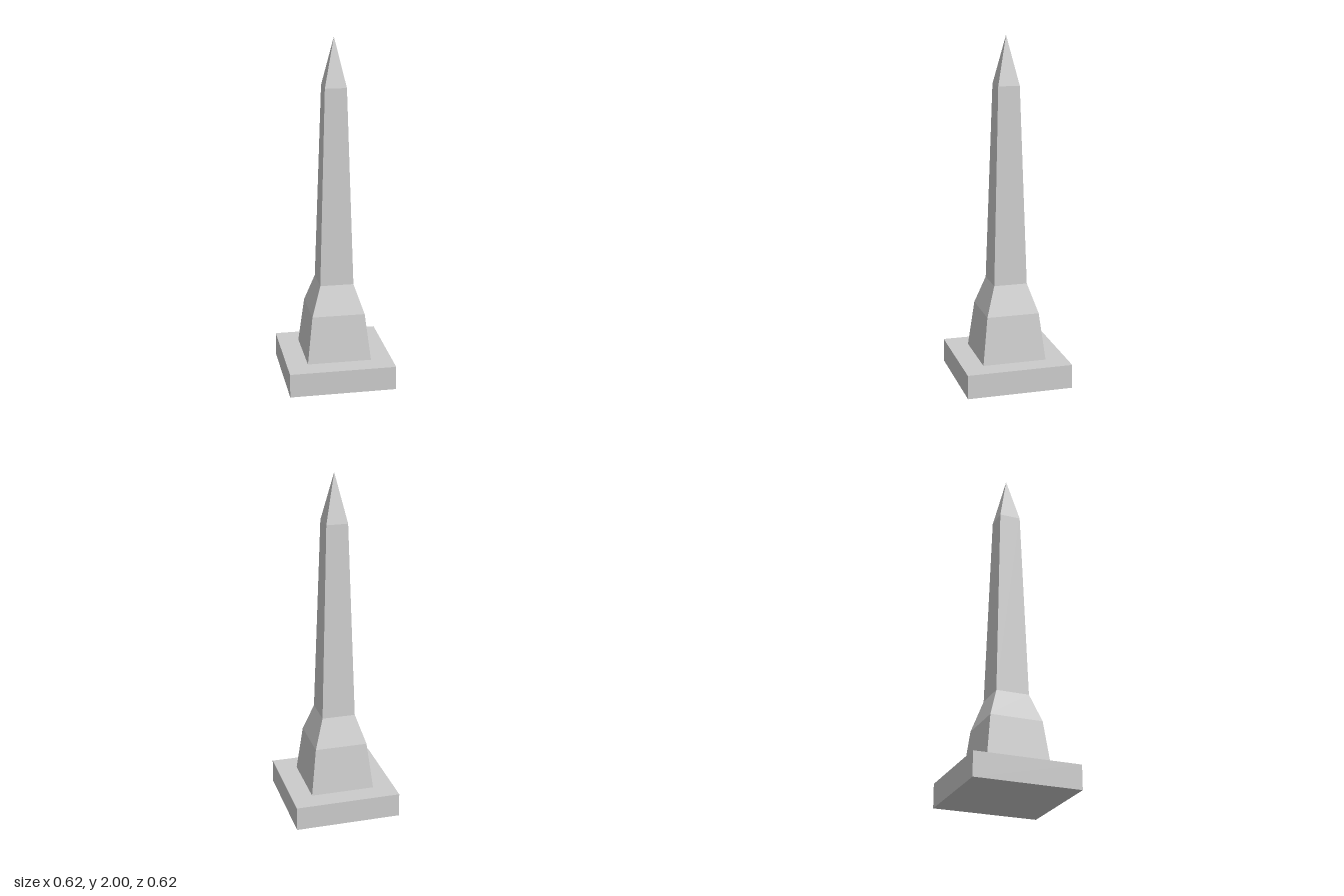
import * as THREE from 'three';

const stone = new THREE.MeshStandardMaterial({ color: 0xcccccc, flatShading: true });

// Square tapered block between two heights, given by half-widths
function taper(name, y0, half0, y1, half1, openTop, openBottom) {
  const geo = new THREE.CylinderGeometry(
    half1 * Math.SQRT2, half0 * Math.SQRT2, y1 - y0, 4, 1, openTop && openBottom);
  geo.rotateY(Math.PI / 4);
  geo.translate(0, (y0 + y1) / 2, 0);
  const mesh = new THREE.Mesh(geo, stone);
  mesh.name = name;
  return mesh;
}

export function createModel() {
  const group = new THREE.Group();
  group.name = 'obelisk';

  // Square plinth
  const plinth = new THREE.Mesh(new THREE.BoxGeometry(0.616, 0.14, 0.616), stone);
  plinth.name = 'plinth';
  plinth.position.y = 0.07;
  group.add(plinth);

  // Stacked sections: [name, bottom y, bottom half-width, top y, top half-width]
  const sections = [
    ['pedestal', 0.14, 0.186, 0.415, 0.153],
    ['shoulder', 0.415, 0.153, 0.583, 0.097],
    ['shaft', 0.583, 0.097, 1.723, 0.062],
    ['pointedCap', 1.723, 0.062, 2, 0],
  ];
  for (const s of sections) group.add(taper(...s, true, true));

  return group;
}
